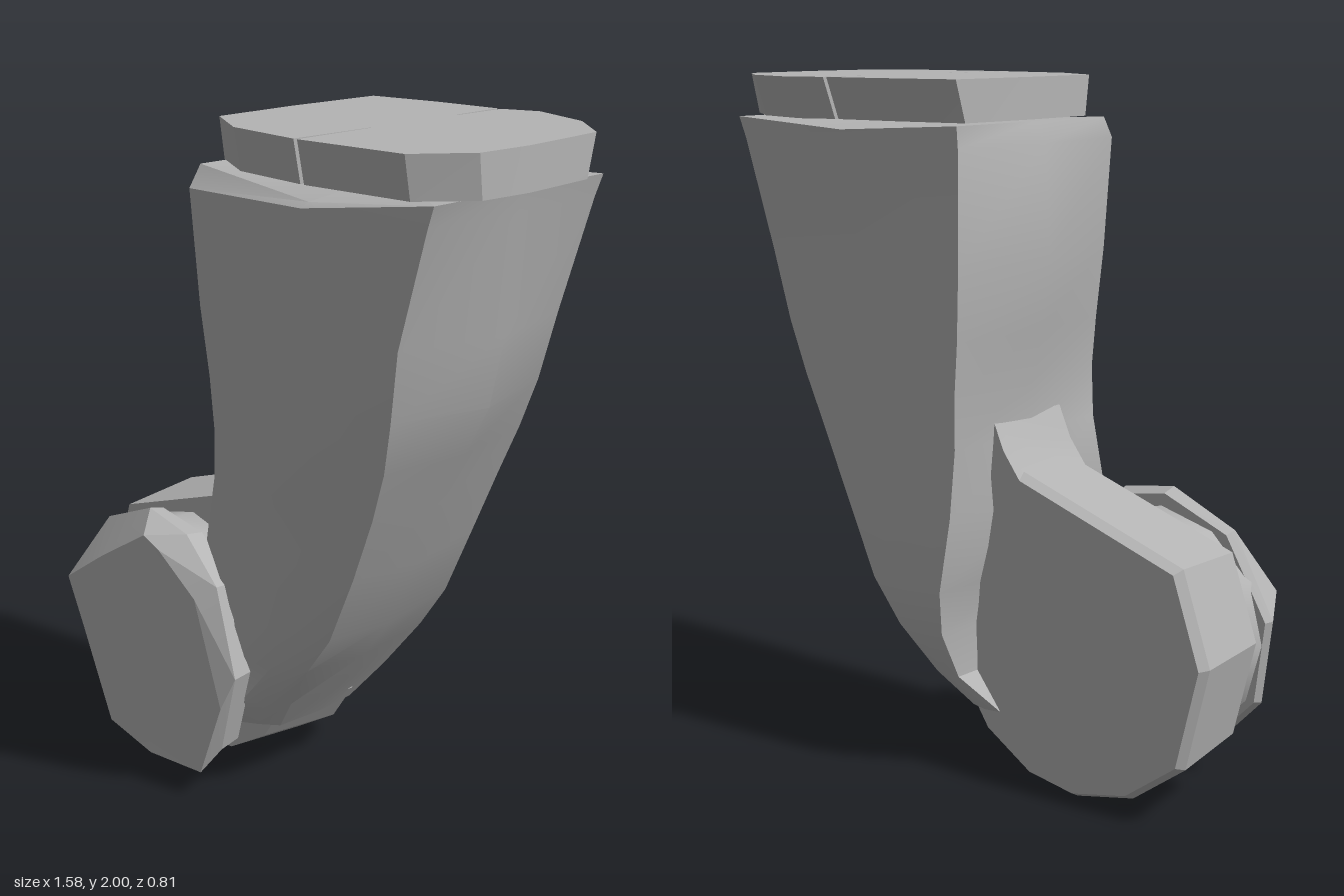
import * as THREE from 'three';
import { toCreasedNormals } from 'three/addons/utils/BufferGeometryUtils.js';

const grey = new THREE.MeshStandardMaterial({ color: 0xb4b4b4 });
grey.name = 'plain grey';

// Skin a list of rings, each running counter-clockwise as seen from the last ring's end.
function loft(name, rings, crease = 0.45, centres = []) {
  const pos = [];
  const tri = (...pts) => pts.forEach((p) => pos.push(...p));
  const n = rings[0].length;
  const middle = (ring) => [0, 1, 2].map((k) => ring.reduce((s, p) => s + p[k], 0) / n);
  for (let i = 0; i < rings.length - 1; i++) {
    for (let j = 0; j < n; j++) {
      const k = (j + 1) % n;
      const [a, b, c, d] = [rings[i][j], rings[i][k], rings[i + 1][k], rings[i + 1][j]];
      tri(a, b, c);
      tri(a, c, d);
    }
  }
  const first = rings[0], last = rings[rings.length - 1];
  const c0 = centres[0] || middle(first), c1 = centres[1] || middle(last);
  for (let j = 0; j < n; j++) {
    const k = (j + 1) % n;
    tri(c0, first[k], first[j]);
    tri(c1, last[j], last[k]);
  }
  const geo = new THREE.BufferGeometry();
  geo.setAttribute('position', new THREE.Float32BufferAttribute(pos, 3));
  const mesh = new THREE.Mesh(toCreasedNormals(geo, crease), grey);
  mesh.name = name;
  return mesh;
}

// Copy of an x,y outline at depth z, scaled about the hub centre.
const HX = -0.37, HY = 0.43;
const atDepth = (outline, z, s = 1) => outline.map(([x, y]) => [HX + (x - HX) * s, HY + (y - HY) * s, z]);

function makeArm() {
  // y, left back x, left middle x, left front x, right front x, right middle x, right back x, back z, left front z, right front z
  const sections = [
    [0.20, -0.10, -0.10, -0.10, 0.00, 0.01, 0.00, -0.14, 0.22, 0.15],
    [0.31, -0.01, -0.02, -0.03, 0.08, 0.09, 0.07, -0.22, 0.28, 0.18],
    [0.45, 0.00, -0.02, -0.02, 0.17, 0.20, 0.16, -0.28, 0.29, 0.20],
    [0.58, -0.01, -0.04, -0.03, 0.27, 0.295, 0.24, -0.30, 0.30, 0.21],
    [0.80, -0.05, -0.10, -0.13, 0.38, 0.405, 0.34, -0.30, 0.31, 0.23],
    [1.00, -0.07, -0.08, -0.08, 0.47, 0.495, 0.43, -0.30, 0.32, 0.25],
    [1.15, -0.07, -0.09, -0.07, 0.53, 0.565, 0.50, -0.30, 0.325, 0.27],
    [1.30, -0.08, -0.12, -0.08, 0.57, 0.645, 0.56, -0.30, 0.33, 0.29],
    [1.50, -0.09, -0.15, -0.09, 0.61, 0.69, 0.615, -0.305, 0.35, 0.31],
    [1.82, -0.10, -0.13, -0.10, 0.71, 0.72, 0.71, -0.315, 0.37, 0.32],
    [1.88, -0.10, -0.10, -0.10, 0.73, 0.73, 0.73, -0.32, 0.33, 0.32],
  ];
  const rings = sections.map(([y, lb, lm, lf, rf, rm, rb, zb, zl, zr]) => {
    const dip = y === 1.88 ? 0.045 : 0; // rim sags in the middle of the front
    return [
      [lb, y, zb], [lm, y, 0.02], [lf, y, zl], [(lf + rf) / 2, y - dip, (zl + zr) / 2 + 0.005],
      [rf, y, zr], [rm, y, 0], [rb, y, zb], [(lb + rb) / 2, y - dip / 2, zb - 0.01],
    ];
  });
  return loft('arm', rings, 0.55);
}

function makeHub() {
  // Faceted drum with a web rising into the arm
  const outline = [
    [-0.79, 0.48], [-0.72, 0.18], [-0.55, 0.05], [-0.36, 0.005], [-0.2, 0.03], [-0.04, 0.13],
    [0.04, 0.25], [0.03, 0.5], [-0.03, 1.16], [-0.1, 1.0], [-0.16, 0.92], [-0.7, 0.74],
  ];
  return loft('hub', [atDepth(outline, -0.14, 0.96), atDepth(outline, -0.11), atDepth(outline, 0.16, 0.94)], 0.35);
}

function makeCollar() {
  // Split plate: a slit enters from the front and from the back
  const outline = [
    [-0.09, -0.31], [-0.1, 0], [-0.09, 0.27], [0.08, 0.37],
    [0.324, 0.39], [0.324, 0.12], [0.337, 0.12], [0.337, 0.39],
    [0.67, 0.36], [0.78, 0.22], [0.79, 0.05], [0.77, -0.23], [0.63, -0.35], [0.44, -0.41],
    [0.337, -0.37], [0.337, -0.2], [0.324, -0.2], [0.324, -0.37], [0.12, -0.35],
  ];
  const top = outline.map(([x, z]) => [x, 2, z]);
  const bottom = outline.map(([x, z]) => [x, 1.885, z * (z > 0 ? 0.94 : 0.88)]);
  return loft('collar', [bottom, top], 0.2, [[0.33, 1.885, 0], [0.33, 2, 0]]);
}

function makeCap() {
  // Irregular faceted disc, its rim leaning forward on the arm side
  const rim = [
    [0.02, 0.42], [-0.06, 0.68], [-0.2, 0.8], [-0.38, 0.83], [-0.6, 0.74],
    [-0.74, 0.5], [-0.71, 0.25], [-0.58, 0.11], [-0.3, 0.06], [-0.05, 0.17],
  ];
  const face = [
    [-0.02, 0.32], [-0.11, 0.64], [-0.24, 0.76], [-0.3, 0.79], [-0.5, 0.67],
    [-0.68, 0.55], [-0.61, 0.4], [-0.49, 0.13], [-0.3, 0.09], [-0.1, 0.09],
  ];
  const edge = rim.map(([x, y]) => [x, y, 0.315 + (x - HX) * 0.07]);
  const front = face.map(([x, y]) => [x, y, 0.405 - Math.max(0, x + 0.27) * 0.16]);
  return loft('frontCap', [atDepth(rim, 0.265, 0.97), edge, front], 0.2);
}

export function createModel() {
  const model = new THREE.Group();
  model.name = 'jointedArm';

  // Recessed neck between the drum and the cap
  const round = [];
  for (let i = 0; i < 12; i++) {
    const a = (i / 12) * Math.PI * 2;
    round.push([HX + 0.35 * Math.cos(a), HY + 0.35 * Math.sin(a)]);
  }
  const neck = loft('neck', [atDepth(round, 0.14), atDepth(round, 0.29)], 0.6);

  model.add(makeArm(), makeHub(), neck, makeCap(), makeCollar());
  return model;
}
